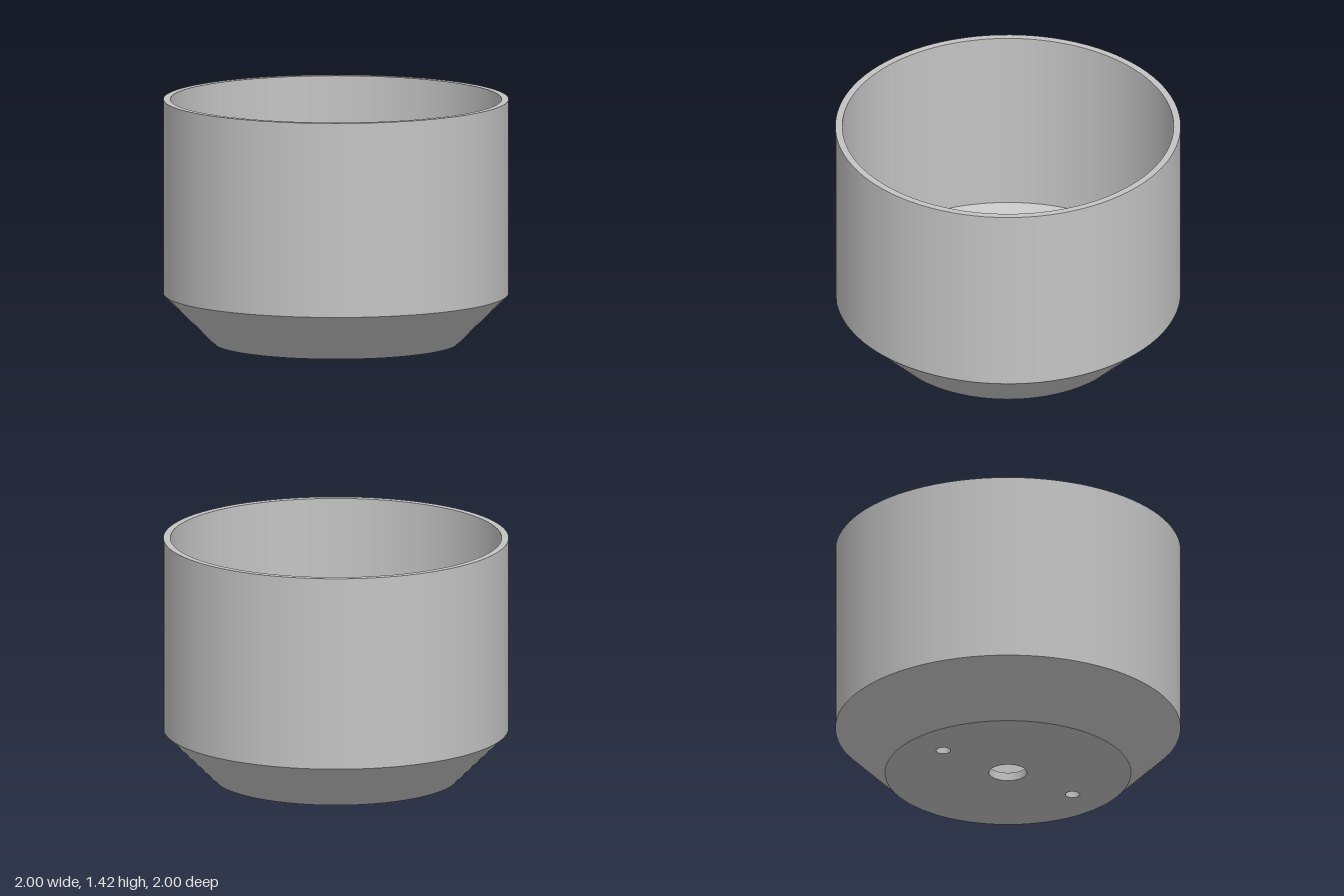
import * as THREE from 'three';
import { toCreasedNormals } from 'three/addons/utils/BufferGeometryUtils.js';

const SEGMENTS = 96;
const HEIGHT = 1.42, SHOULDER = 0.285, FLOOR = 0.05;
const OUTER = 1, INNER = 0.96, BASE = 0.712;

export function createModel() {
  const group = new THREE.Group();
  group.name = 'cup';
  const grey = new THREE.MeshStandardMaterial({ color: 0xc4c4c4 });
  grey.name = 'plain grey';

  const add = (name, geometry) => {
    const mesh = new THREE.Mesh(geometry, grey);
    mesh.name = name;
    group.add(mesh);
  };

  // Shell: one lathe band per straight stretch keeps the rims sharp
  const bands = [
    ['outerChamfer', BASE, 0, OUTER, SHOULDER],
    ['outerWall', OUTER, SHOULDER, OUTER, HEIGHT],
    ['rim', OUTER, HEIGHT, INNER, HEIGHT],
    ['innerWall', INNER, HEIGHT, INNER, SHOULDER + 0.015],
    ['innerChamfer', INNER, SHOULDER + 0.015, BASE, FLOOR],
  ];
  for (const [name, r0, y0, r1, y1] of bands) {
    const profile = [new THREE.Vector2(r0, y0), new THREE.Vector2(r1, y1)];
    add(name, new THREE.LatheGeometry(profile, SEGMENTS));
  }

  // Floor plate with a central drain and two screw holes
  const floor = new THREE.Shape().absarc(0, 0, BASE, 0, Math.PI * 2, false);
  for (const [x, r] of [[0, 0.11], [-0.48, 0.042], [0.48, 0.042]]) {
    floor.holes.push(new THREE.Path().absarc(x, 0, r, 0, Math.PI * 2, true));
  }
  const plate = new THREE.ExtrudeGeometry(floor, {
    depth: FLOOR, bevelEnabled: false, curveSegments: SEGMENTS,
  });
  plate.rotateX(-Math.PI / 2);
  add('floor', toCreasedNormals(plate, Math.PI / 6));

  return group;
}
